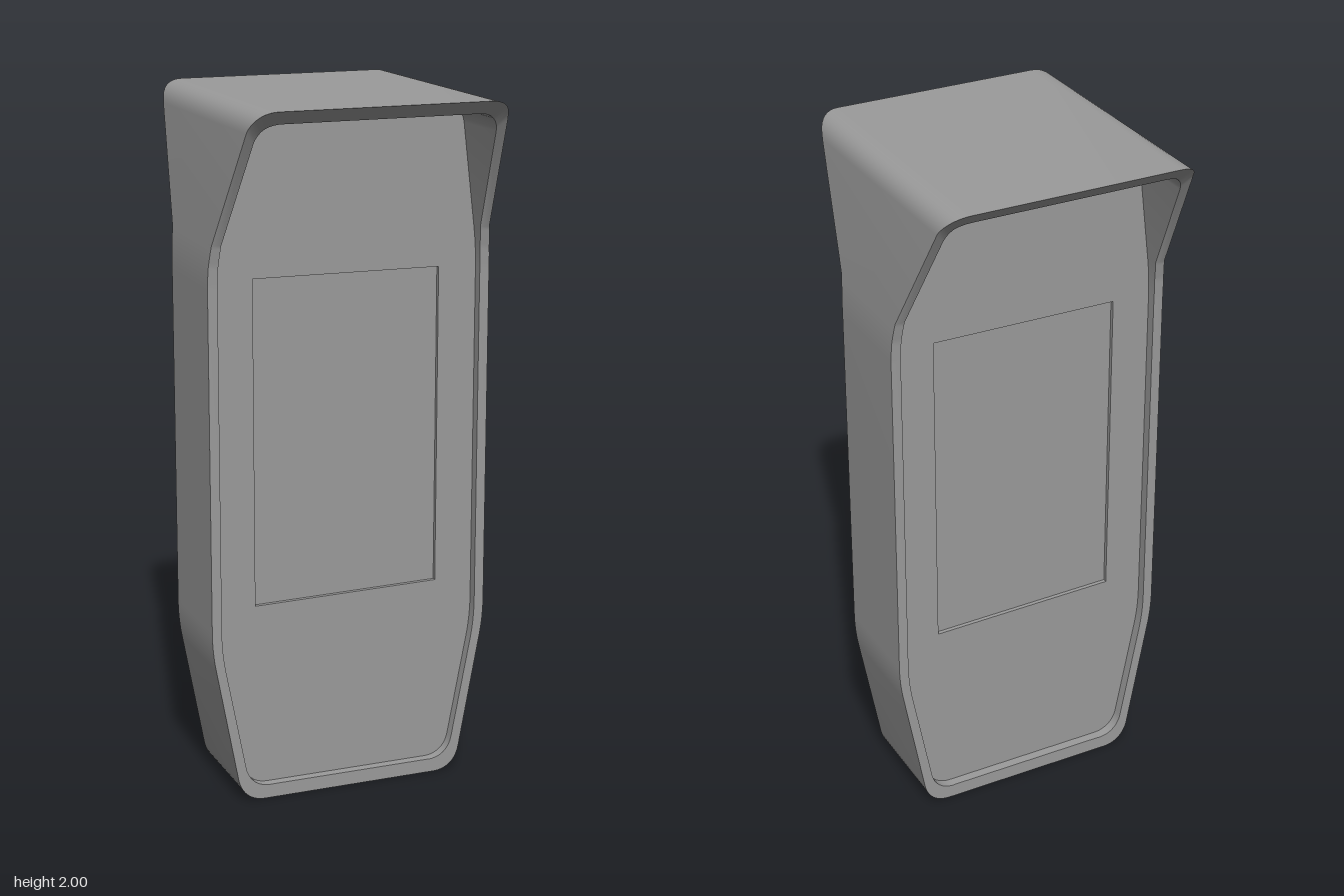
import * as THREE from 'three';
import { toCreasedNormals } from 'three/addons/utils/BufferGeometryUtils.js';

const material = new THREE.MeshStandardMaterial({ color: 0x9b9b9b, side: THREE.DoubleSide });

// Rounded, tapered housing outline, counterclockwise from the bottom edge
function outline() {
  const s = new THREE.Shape();
  s.moveTo(-0.265, 0);
  s.lineTo(0.265, 0);
  s.bezierCurveTo(0.305, 0, 0.336, 0.025, 0.344, 0.07);
  s.lineTo(0.405, 0.4);
  s.quadraticCurveTo(0.417, 0.46, 0.417, 0.52);
  s.lineTo(0.417, 1.5);
  s.quadraticCurveTo(0.417, 1.56, 0.409, 1.62);
  s.lineTo(0.372, 1.94);
  s.bezierCurveTo(0.367, 1.975, 0.345, 2, 0.3, 2);
  s.lineTo(-0.3, 2);
  s.bezierCurveTo(-0.345, 2, -0.367, 1.975, -0.372, 1.94);
  s.lineTo(-0.409, 1.62);
  s.quadraticCurveTo(-0.417, 1.56, -0.417, 1.5);
  s.lineTo(-0.417, 0.52);
  s.quadraticCurveTo(-0.417, 0.46, -0.405, 0.4);
  s.lineTo(-0.344, 0.07);
  s.bezierCurveTo(-0.336, 0.025, -0.305, 0, -0.265, 0);
  const points = s.getPoints(10);
  if (points[0].distanceTo(points[points.length - 1]) < 1e-6) points.pop();
  return points;
}

// Linear interpolation through a list of [y, value] pairs
function sample(profile, y) {
  for (let i = 1; i < profile.length; i++) {
    const [y0, v0] = profile[i - 1], [y1, v1] = profile[i];
    if (y <= y1) return THREE.MathUtils.mapLinear(y, y0, y1, v0, v1);
  }
  return profile[profile.length - 1][1];
}

// Half depth of the housing: straight body flaring into the hoods
const depthProfile = [[0, 0.153], [1.5, 0.153], [1.56, 0.156], [1.62, 0.167], [1.95, 0.352], [2, 0.4]];
// Height of the inner outline, inset only at the top and bottom
const insetProfile = [[0, 0.04], [0.4, 0.4], [1.62, 1.62], [2, 1.963]];

const edge = (points, side) =>
  points.map((p) => new THREE.Vector3(p.x, p.y, side * sample(depthProfile, p.y)));

// Band of quads between two closed loops
function band(name, a, b, first = 0) {
  const n = a.length, index = [];
  for (let i = first; i < n; i++) {
    const j = (i + 1) % n;
    index.push(i, j, n + j, i, n + j, n + i);
  }
  const g = new THREE.BufferGeometry().setFromPoints([...a, ...b]);
  g.setIndex(index);
  return mesh(name, toCreasedNormals(g, 0.6));
}

function mesh(name, geometry) {
  const m = new THREE.Mesh(geometry, material);
  m.name = name;
  return m;
}

function box(name, w, h, d, x, y, z) {
  const m = mesh(name, new THREE.BoxGeometry(w, h, d));
  m.position.set(x, y, z);
  return m;
}

export function createModel() {
  const group = new THREE.Group();
  group.name = 'doubleSidedKiosk';
  const outer = outline();
  const inner = outer.map((p) => new THREE.Vector2(p.x * 0.932, sample(insetProfile, p.y)));

  // Housing walls; the bottom segment is left open
  const [of, ob, nf, nb] = [edge(outer, 1), edge(outer, -1), edge(inner, 1), edge(inner, -1)];
  group.add(
    band('outerWall', ob, of, 1),
    band('innerWall', nf, nb, 1),
    band('frontRim', of, nf),
    band('backRim', nb, ob),
  );

  // Matching front and back faces
  for (const [side, turn] of [['front', 0], ['back', Math.PI]]) {
    const face = new THREE.Group();
    face.name = side + 'Face';
    face.rotation.y = turn;

    // Recessed panel with a screen opening
    const shape = new THREE.Shape(inner);
    shape.holes.push(new THREE.Path([
      new THREE.Vector2(-0.278, 0.575), new THREE.Vector2(-0.278, 1.513),
      new THREE.Vector2(0.275, 1.508), new THREE.Vector2(0.275, 0.585),
    ]));
    const panel = mesh('panel', new THREE.ExtrudeGeometry(shape, { depth: 0.018, bevelEnabled: false }));
    panel.position.z = 0.106;
    face.add(panel, box('screen', 0.58, 0.96, 0.008, 0, 1.045, 0.108));

    // Sill between the rim and the panel, above the open bottom
    face.add(box('bottomSill', 0.494, 0.003, 0.05, 0, 0.0385, 0.127));
    group.add(face);
  }
  return group;
}
